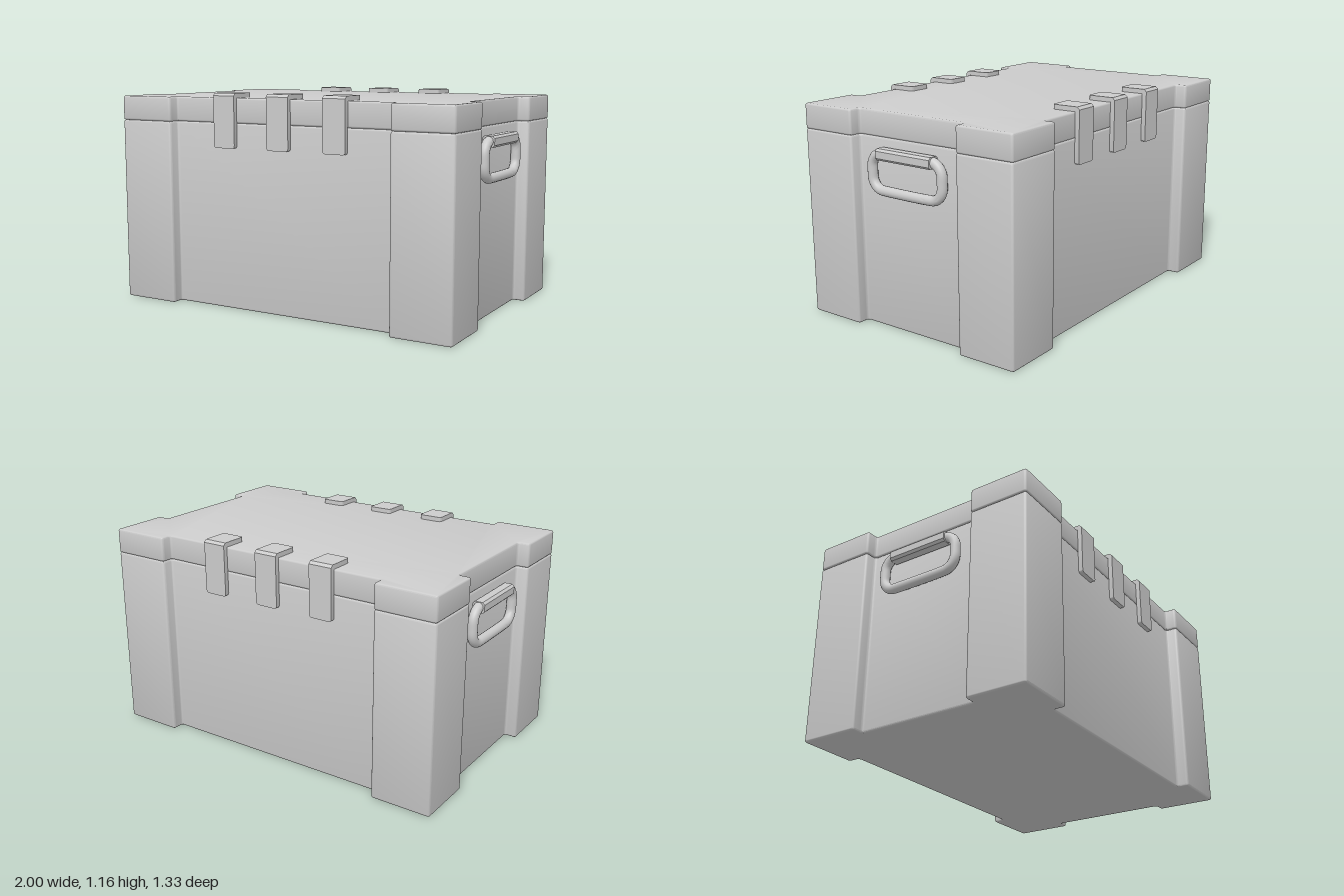
import * as THREE from 'three';
import { toCreasedNormals } from 'three/addons/utils/BufferGeometryUtils.js';

const material = new THREE.MeshStandardMaterial({ color: 0xcccccc });

// Closed shape from [x, y, cornerRadius] points
function roundedShape(points) {
  const shape = new THREE.Shape();
  const n = points.length;
  points.forEach(([x, y, r = 0], i) => {
    const p = new THREE.Vector2(x, y);
    const toward = ([qx, qy]) =>
      new THREE.Vector2(qx, qy).sub(p).setLength(r).add(p);
    const a = toward(points[(i + n - 1) % n]);
    const b = toward(points[(i + 1) % n]);
    if (i === 0) shape.moveTo(a.x, a.y);
    else shape.lineTo(a.x, a.y);
    if (r > 0) shape.quadraticCurveTo(x, y, b.x, b.y);
  });
  shape.closePath();
  return shape;
}

function extrude(points, depth, bevel = 0) {
  return new THREE.ExtrudeGeometry(roundedShape(points), {
    depth: depth - 2 * bevel,
    curveSegments: 5,
    bevelEnabled: bevel > 0,
    bevelSize: bevel,
    bevelThickness: bevel,
    bevelOffset: -bevel,
    bevelSegments: 3,
  }).translate(0, 0, bevel);
}

function addMesh(parent, name, geometry) {
  const mesh = new THREE.Mesh(toCreasedNormals(geometry, 0.6), material);
  mesh.name = name;
  parent.add(mesh);
  return mesh;
}

// Plan outline: raised corner posts with recessed panels between them
const quarter = [[1, 0.335], [1, 0.665], [0.665, 0.665], [0.665, 0.6]];
const sideStep = [0.935, 0.335];
function planOutline() {
  const q = [sideStep, ...quarter];
  const flip = (list, sx, sy) => list.map(([x, y]) => [x * sx, y * sy, 0.016]);
  return [
    ...flip(q, 1, 1),
    ...flip([...q].reverse(), -1, 1),
    ...flip(q, -1, -1),
    ...flip([...q].reverse(), 1, -1),
  ];
}

function slab(y0, y1) {
  return extrude(planOutline(), y1 - y0, 0.01).rotateX(-Math.PI / 2).translate(0, y0, 0);
}

// Bent strap gripping the lid edge
function createLatch() {
  const latch = new THREE.Group();
  latch.name = 'latch';
  const h = 0.066, t = 0.025, r = 0.018;
  addMesh(latch, 'latchFront', extrude(
    [[-h, 0.87, r], [h, 0.87, r], [h, 1.135], [-h, 1.135]], t).translate(0, 0, 0.6));
  addMesh(latch, 'latchTop', extrude(
    [[-h, -0.6], [h, -0.6], [h, -0.467, r], [-h, -0.467, r]], t)
    .rotateX(-Math.PI / 2).translate(0, 1.135, 0));
  addMesh(latch, 'latchBend', extrude(
    [[0.6, 1.135], [0.625, 1.135], [0.625, 1.146], [0.611, 1.16], [0.6, 1.16]], 2 * h)
    .rotateY(-Math.PI / 2).translate(h, 0, 0));
  return latch;
}

// Ring handle hanging from a chamfered grip
function createHandle() {
  const handle = new THREE.Group();
  handle.name = 'handle';
  const ring = new THREE.Shape();
  const w = 0.226, y0 = 0.741, y1 = 0.931, r = 0.07;
  ring.moveTo(-w + r, y0);
  ring.absarc(w - r, y0 + r, r, -Math.PI / 2, 0);
  ring.absarc(w - r, y1 - r, r, 0, Math.PI / 2);
  ring.absarc(-w + r, y1 - r, r, Math.PI / 2, Math.PI);
  ring.absarc(-w + r, y0 + r, r, Math.PI, Math.PI * 1.5);
  const path = ring.getSpacedPoints(72).slice(0, -1)
    .map((p) => new THREE.Vector3(0.967, p.y, p.x));
  addMesh(handle, 'handleRing', new THREE.TubeGeometry(
    new THREE.CatmullRomCurve3(path, true), 96, 0.026, 16, true));
  addMesh(handle, 'handleGrip', extrude([
    [0.934, 0.91], [0.946, 0.898], [0.988, 0.898], [1, 0.91],
    [1, 0.946], [0.988, 0.958], [0.946, 0.958], [0.934, 0.946],
  ], 0.346).translate(0, 0, -0.173));
  return handle;
}

export function createModel() {
  const model = new THREE.Group();
  model.name = 'storageCrate';
  addMesh(model, 'body', slab(0, 1.002));
  addMesh(model, 'lid', slab(1.002, 1.135));

  // Front and back latches, left and right handles
  for (const turn of [0, Math.PI]) {
    const half = new THREE.Group();
    half.name = turn ? 'backLatchesAndRightHandle' : 'frontLatchesAndLeftHandle';
    half.rotation.y = turn;
    for (const x of [-0.335, 0, 0.335]) {
      const latch = createLatch();
      latch.position.x = x;
      half.add(latch);
    }
    half.add(createHandle());
    model.add(half);
  }
  return model;
}
